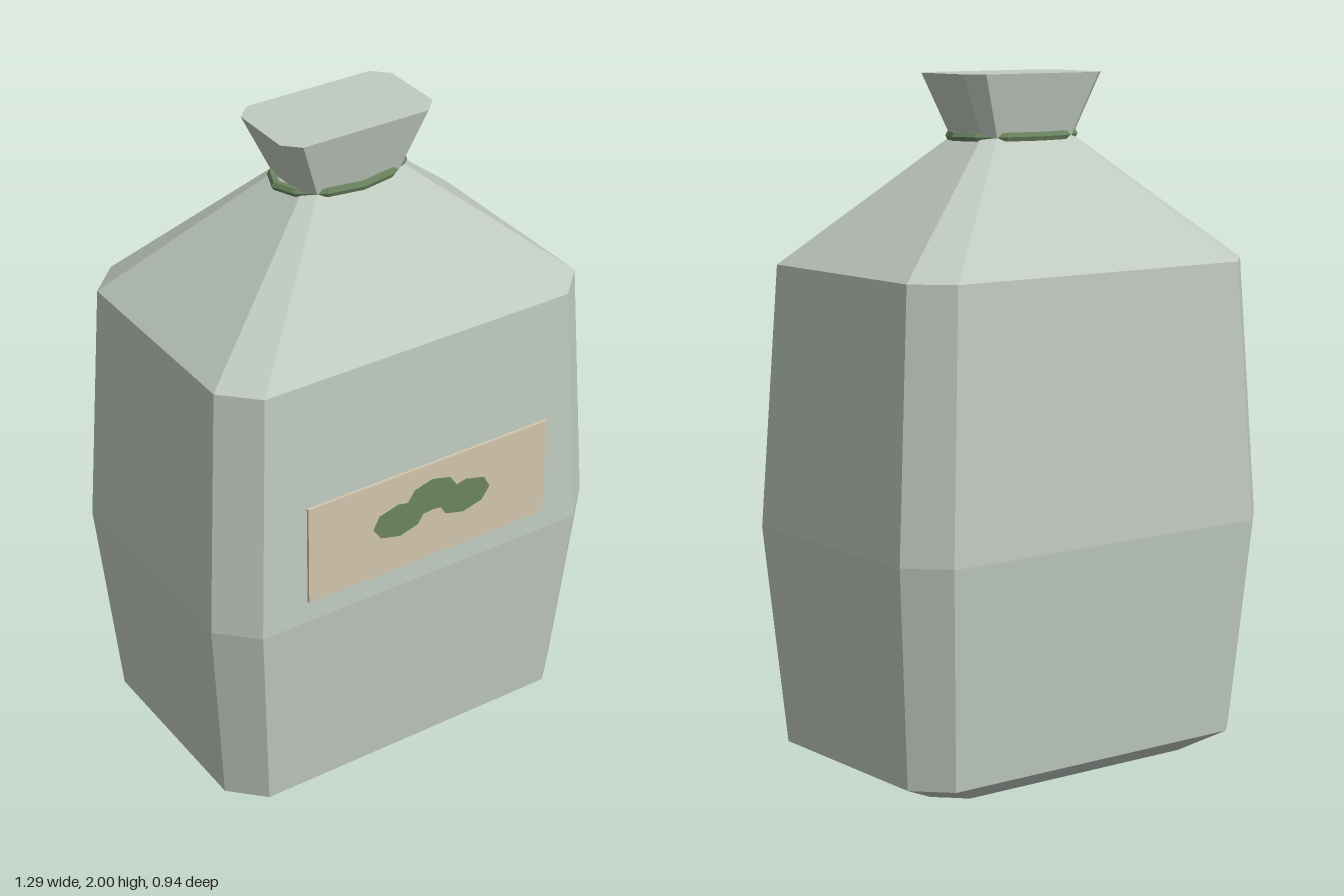
import * as THREE from 'three';

const material = (name, color, extra = {}) =>
  Object.assign(new THREE.MeshStandardMaterial({ color, flatShading: true, ...extra }), { name });

// Rectangle with cut corners at height y: half width hx, half depth hz, corner cut c
function ring([y, hx, hz, c]) {
  return [
    [hx, hz - c], [hx - c, hz], [c - hx, hz], [-hx, hz - c],
    [-hx, c - hz], [c - hx, -hz], [hx - c, -hz], [hx, c - hz],
  ].map(([x, z]) => [x, y, z]);
}

// Closed faceted body through a stack of rings
function loft(sections) {
  const rings = sections.map(ring);
  const n = rings[0].length;
  const pos = [];
  const tri = (...pts) => pts.forEach((p) => pos.push(...p));
  for (let r = 0; r < rings.length - 1; r++) {
    for (let i = 0; i < n; i++) {
      const j = (i + 1) % n;
      const lo = rings[r], hi = rings[r + 1];
      tri(lo[i], hi[i], lo[j]);
      tri(lo[j], hi[i], hi[j]);
    }
  }
  const bottom = rings[0], top = rings[rings.length - 1];
  for (let i = 1; i < n - 1; i++) {
    tri(bottom[0], bottom[i], bottom[i + 1]);
    tri(top[0], top[i + 1], top[i]);
  }
  const g = new THREE.BufferGeometry();
  g.setAttribute('position', new THREE.Float32BufferAttribute(pos, 3));
  g.computeVertexNormals();
  return g;
}

export function createModel() {
  const cloth = material('sack cloth', 0xc0cac0);
  const paper = material('label paper', 0xd3c6ae);
  const green = material('leaf green', 0x6b8560, { side: THREE.DoubleSide });

  const model = new THREE.Group();
  model.name = 'tiedSack';
  const add = (name, geometry, mat, x, y, z) => {
    const mesh = new THREE.Mesh(geometry, mat);
    mesh.name = name;
    mesh.position.set(x, y, z);
    model.add(mesh);
    return mesh;
  };

  // Sack: base, bulging belly, shoulders, pinched neck and flared top
  const depth = -0.02;
  add('sack', loft([
    [0, 0.465, 0.31, 0.08],
    [0.06, 0.593, 0.397, 0.095],
    [0.7, 0.645, 0.45, 0.105],
    [1.46, 0.598, 0.417, 0.098],
    [1.82, 0.165, 0.105, 0.032],
    [2, 0.246, 0.145, 0.045],
  ]), cloth, 0, 0, depth);

  // Cord around the neck, flattened to an oval
  const cord = new THREE.TorusGeometry(0.2, 0.014, 6, 12);
  cord.rotateX(Math.PI / 2);
  cord.scale(1, 1, 0.65);
  add('neckCord', cord, green, 0, 1.823, depth);

  // Label plate on the front
  add('label', new THREE.BoxGeometry(0.805, 0.315, 0.009), paper, 0, 0.943, 0.449);

  // Three-lobed leaf sprig, half outline mirrored about x = 0
  const half = [
    [0, 0.953], [0.03, 0.95], [0.047, 0.922], [0.108, 0.905], [0.172, 0.922],
    [0.198, 0.96], [0.178, 0.998], [0.115, 1.015], [0.083, 1.008],
    [0.06, 1.042], [0, 1.058],
  ];
  const mirrored = half.slice(1, -1).reverse().map(([x, y]) => [-x, y]);
  const outline = [...half, ...mirrored].map(([x, y]) => new THREE.Vector2(x, y));
  add('leafMotif', new THREE.ShapeGeometry(new THREE.Shape(outline)), green, 0, 0, 0.465);

  return model;
}
